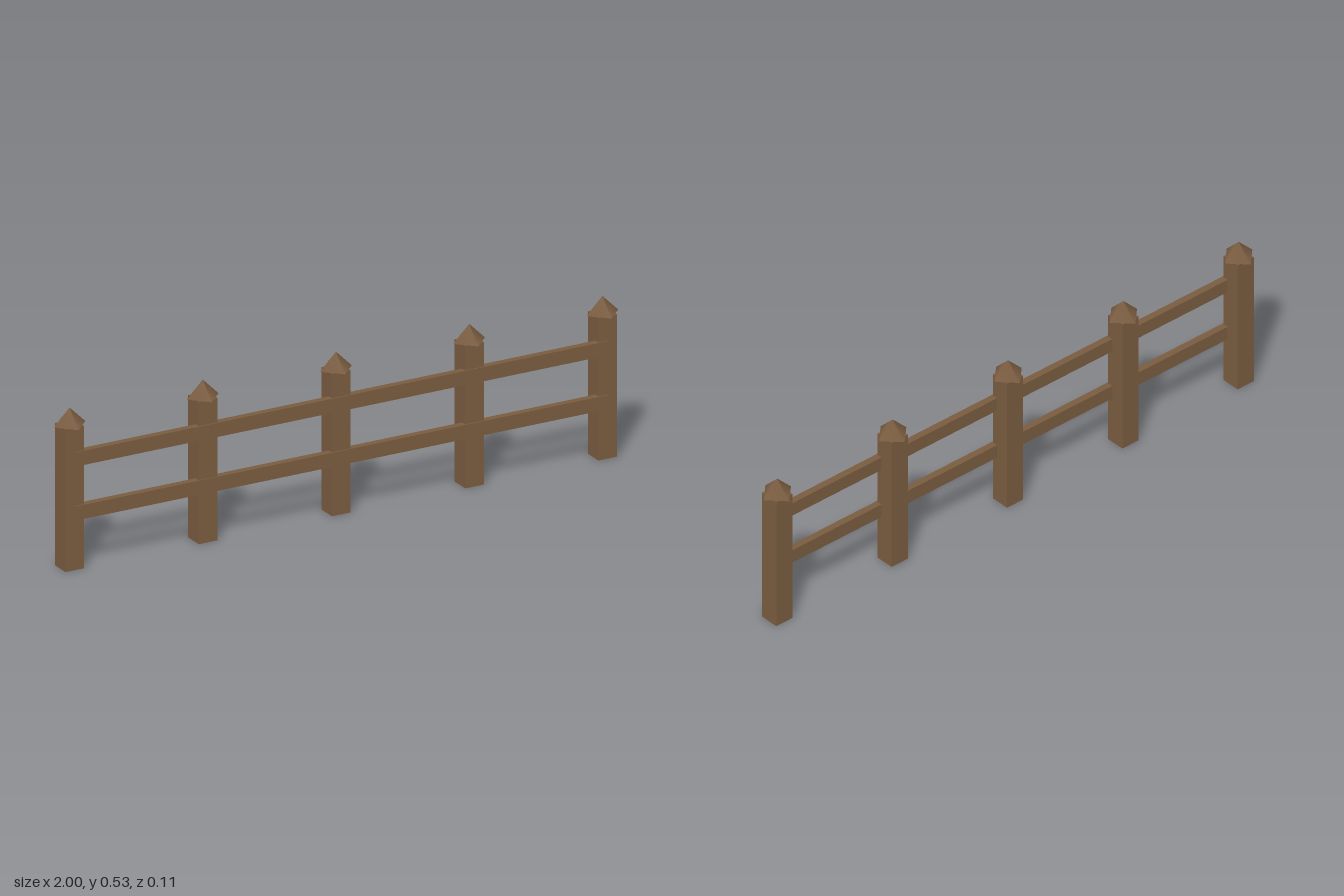
import * as THREE from 'three';

export function createModel() {
  const fence = new THREE.Group();
  fence.name = 'fence';
  const wood = new THREE.MeshStandardMaterial({ color: 0x7a5c40 });
  wood.name = 'brown wood';

  const spacing = 0.472, postHeight = 0.472, postWidth = 0.066;
  const capRadius = 0.056, capHeight = 0.056;

  const add = (name, geometry, x, y, z) => {
    const mesh = new THREE.Mesh(geometry, wood);
    mesh.name = name;
    mesh.position.set(x, y, z);
    fence.add(mesh);
  };

  // Square posts, each with a four-sided cap turned corner to the front
  const postGeometry = new THREE.BoxGeometry(postWidth, postHeight, postWidth);
  const capGeometry = new THREE.ConeGeometry(capRadius, capHeight, 4);
  for (let i = -2; i <= 2; i++) {
    add('post', postGeometry, i * spacing, postHeight / 2, 0);
    add('postCap', capGeometry, i * spacing, postHeight + capHeight / 2, 0);
  }

  // Two rails set into the front of the posts
  const railGeometry = new THREE.BoxGeometry(spacing * 4, 0.047, 0.0236);
  add('lowerRail', railGeometry, 0, 0.189, 0.0257);
  add('upperRail', railGeometry, 0, 0.368, 0.0257);

  return fence;
}
